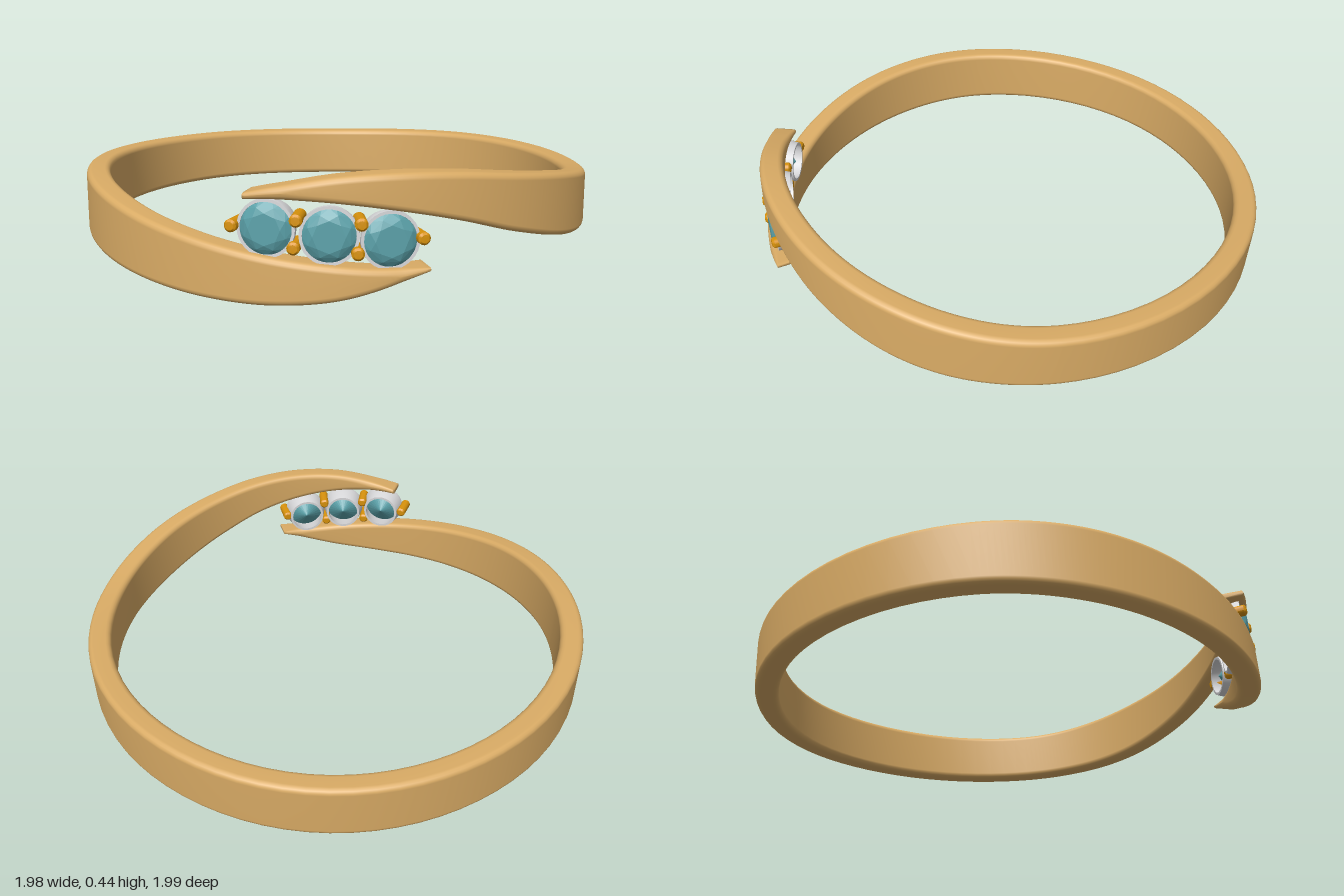
import * as THREE from 'three';
import { toCreasedNormals } from 'three/addons/utils/BufferGeometryUtils.js';
import { ConvexGeometry } from 'three/addons/geometries/ConvexGeometry.js';

const mat = (name, color, side = THREE.FrontSide) =>
  Object.assign(new THREE.MeshStandardMaterial({ color, side }), { name });

const OUTER = 0.992, INNER = 0.902, LEAN = 0.05;

// Band edges: [angle from the front in degrees, bottom y, top y]
const EDGES = [
  [-17, 0.352, 0.372], [-12, 0.355, 0.392], [0, 0.345, 0.428], [12, 0.315, 0.437],
  [24, 0.268, 0.425], [37, 0.2, 0.395], [54, 0.125, 0.35], [66, 0.09, 0.315],
  [78, 0.07, 0.285], [90, 0.057, 0.267], [135, 0.027, 0.245], [180, 0.002, 0.22],
  [225, 0.025, 0.245], [270, 0.053, 0.285], [282, 0.052, 0.289], [294, 0.045, 0.283],
  [306, 0.035, 0.266], [323, 0.02, 0.228], [336, 0.012, 0.197], [348, 0.013, 0.17],
  [360, 0.033, 0.148], [368, 0.066, 0.137], [377.5, 0.121, 0.133],
];

// Rounded-rectangle section in (radius, y), counter-clockwise
function section(bottom, top) {
  const b = Math.min(0.022, (top - bottom) * 0.48);
  const corners = [[OUTER - b, top - b], [INNER + b, top - b], [INNER + b, bottom + b], [OUTER - b, bottom + b]];
  const pts = [];
  corners.forEach(([r, y], c) => {
    for (let k = 0; k <= 4; k++) {
      const a = (c + k / 4) * Math.PI / 2;
      pts.push([r + b * Math.cos(a), y + b * Math.sin(a)]);
    }
  });
  return pts;
}

// Open bypass band swept round the circle, with closed tips
function bandGeometry() {
  const curve = new THREE.CatmullRomCurve3(EDGES.map(e => new THREE.Vector3(...e)));
  const steps = 220, n = 20, pos = [], idx = [];
  for (let i = 0; i <= steps; i++) {
    const p = curve.getPoint(i / steps), a = THREE.MathUtils.degToRad(p.x);
    for (const [r, y] of section(p.y, p.z))
      pos.push(r * Math.sin(a), y, r * Math.cos(a) - LEAN * (y - 0.2));
  }
  for (let i = 0; i < steps; i++) {
    for (let j = 0; j < n; j++) {
      const a = i * n + j, b = i * n + (j + 1) % n;
      idx.push(a, a + n, b, b, a + n, b + n);
    }
  }
  const end = steps * n;
  for (let j = 1; j < n - 1; j++) idx.push(0, j, j + 1, end, end + j + 1, end + j);
  const g = new THREE.BufferGeometry();
  g.setAttribute('position', new THREE.Float32BufferAttribute(pos, 3));
  g.setIndex(idx);
  g.computeVertexNormals();
  return g;
}

// Brilliant-cut gem facing +z
function gemGeometry() {
  const pts = [new THREE.Vector3(0, 0, -0.055)];
  const ring = (count, r, z, turn = 0) => {
    for (let i = 0; i < count; i++) {
      const a = (i + turn) / count * Math.PI * 2;
      pts.push(new THREE.Vector3(r * Math.cos(a), r * Math.sin(a), z));
    }
  };
  ring(8, 0.052, 0.034);
  ring(8, 0.072, 0.026, 0.5);
  ring(24, 0.087, 0.012);
  return new ConvexGeometry(pts);
}

// Turned part whose axis points along +z
function turned(points, segments) {
  const g = new THREE.LatheGeometry(points.map(p => new THREE.Vector2(...p)), segments);
  g.rotateX(Math.PI / 2);
  return toCreasedNormals(g, 0.6);
}

export function createModel() {
  const model = new THREE.Group();
  model.name = 'bypassRing';
  const gold = mat('warm gold', 0xd9ab65);
  const prongGold = mat('deep yellow gold', 0xd8920c);
  const silver = mat('pale silver', 0xd8d8da, THREE.DoubleSide);
  const teal = mat('teal gem', 0x5aa0a8);
  teal.flatShading = true;

  const add = (parent, name, geometry, material) => {
    const m = new THREE.Mesh(geometry, material);
    m.name = name;
    parent.add(m);
    return m;
  };
  add(model, 'band', bandGeometry(), gold);

  // Place a part on the ring's face, pointing outward
  const place = (obj, x, y, r) => {
    const a = Math.asin(x / r);
    obj.position.set(x, y, r * Math.cos(a) - LEAN * (y - 0.2));
    obj.rotation.set(-LEAN, a, 0, 'YXZ');
  };

  // Three gems in open-backed cups
  const gem = gemGeometry();
  const cup = turned([[0.07, -0.062], [0.08, -0.062], [0.095, 0.0], [0.095, 0.016], [0.085, 0.016], [0.083, 0.0], [0.07, -0.062]], 32);
  [[-0.215, 0.257], [-0.02, 0.24], [0.168, 0.222]].forEach(([x, y], i) => {
    const setting = new THREE.Group();
    setting.name = 'setting' + (i + 1);
    add(setting, 'gem', gem, teal);
    add(setting, 'cup', cup, silver);
    place(setting, x, y, 0.95);
    model.add(setting);
  });

  // Prongs at the ends and between the gems
  const prong = turned([[0, -0.052], [0.014, -0.051], [0.021, -0.044], [0.021, 0.044], [0.014, 0.051], [0, 0.052]], 16);
  [[-0.315, 0.262], [-0.118, 0.291], [-0.126, 0.203], [0.076, 0.28], [0.066, 0.187], [0.263, 0.226]].forEach(([x, y], i) => {
    place(add(model, 'prong' + (i + 1), prong, prongGold), x, y, 0.945);
  });
  return model;
}
